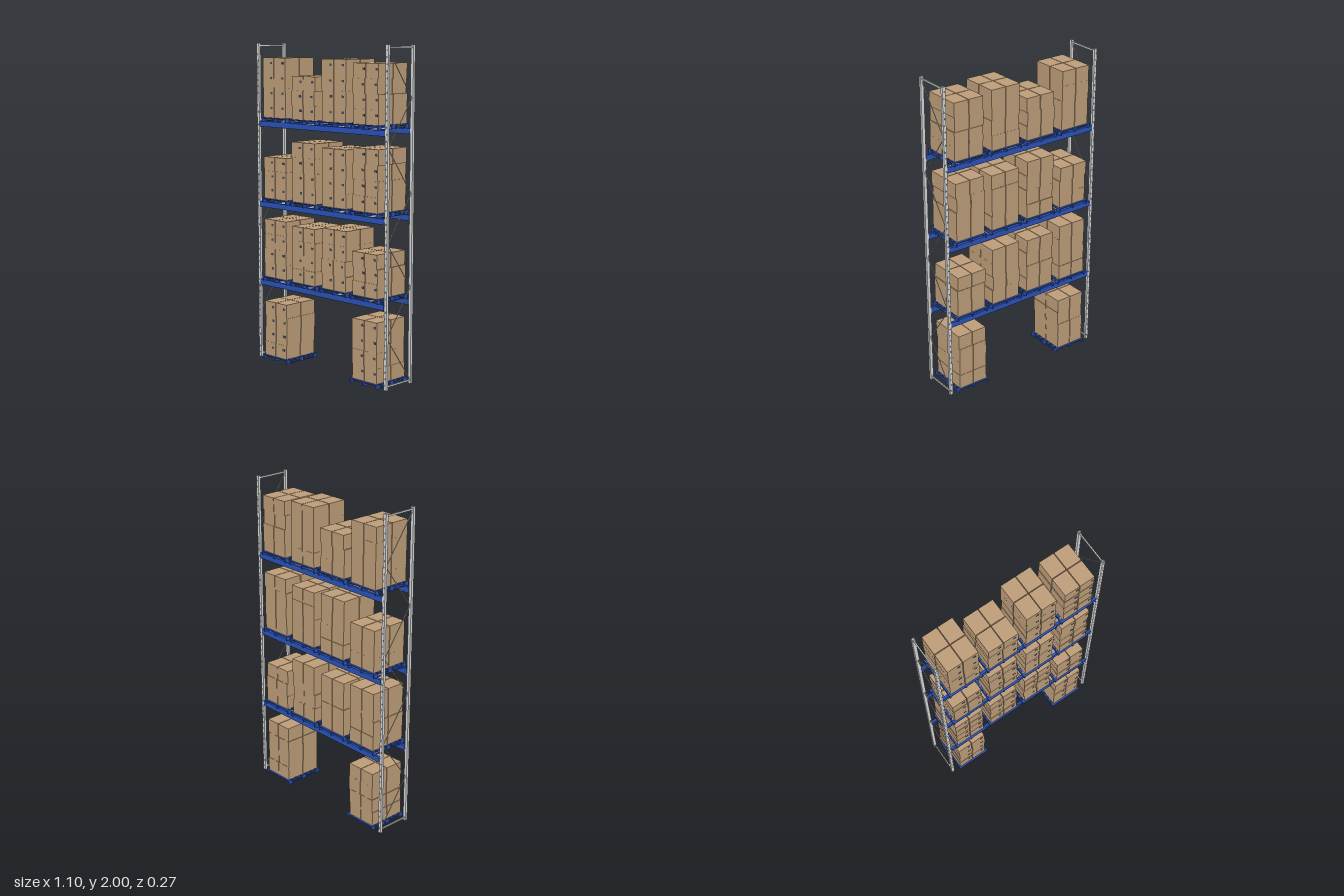
import * as THREE from 'three';

const mat = (name, color) => Object.assign(new THREE.MeshStandardMaterial({ color }), { name });

// Upright face: a tall strip pierced by a staggered row of slots
function slottedStrip(width, height, depth) {
  const shape = new THREE.Shape();
  shape.moveTo(-width / 2, 0);
  shape.lineTo(width / 2, 0);
  shape.lineTo(width / 2, height);
  shape.lineTo(-width / 2, height);
  shape.closePath();
  for (let i = 0; i < 50; i++) {
    const x = i % 2 ? 0.003 : -0.003, y = 0.03 + i * 0.0396;
    const hole = new THREE.Path();
    hole.moveTo(x - 0.002, y - 0.004);
    hole.lineTo(x - 0.002, y + 0.004);
    hole.lineTo(x + 0.002, y + 0.004);
    hole.lineTo(x + 0.002, y - 0.004);
    hole.closePath();
    shape.holes.push(hole);
  }
  return new THREE.ExtrudeGeometry(shape, { depth, bevelEnabled: false });
}

export function createModel() {
  const model = new THREE.Group();
  model.name = 'palletRack';
  const steel = mat('galvanised steel', 0xd6d7d7);
  const blue = mat('blue paint', 0x2a52b8);
  const card = mat('cardboard', 0xbd9d79);
  const dark = mat('dark slate', 0x414b5a);

  const unit = new THREE.BoxGeometry(1, 1, 1);
  const box = (parent, name, m, sx, sy, sz, x, y, z) => {
    const b = new THREE.Mesh(unit, m);
    b.name = name;
    b.scale.set(sx, sy, sz);
    b.position.set(x, y, z);
    parent.add(b);
    return b;
  };
  const group = (parent, name, x = 0, y = 0, z = 0) => {
    const g = new THREE.Group();
    g.name = name;
    g.position.set(x, y, z);
    parent.add(g);
    return g;
  };
  let seed = 11;
  const jitter = (a) => {
    seed = (seed * 16807) % 2147483647;
    return (seed / 2147483647 - 0.5) * 2 * a;
  };

  // End frames: slotted uprights, horizontals and zigzag braces
  const postX = 0.542, postZ = 0.107;
  const face = slottedStrip(0.02, 2, 0.002);
  for (const side of [-1, 1]) {
    const frame = group(model, side > 0 ? 'leftFrame' : 'rightFrame', side * postX);
    for (const s of [-1, 1]) {
      const post = group(frame, 'upright', 0, 0, s * postZ);
      post.rotation.y = s > 0 ? 0 : Math.PI;
      const front = new THREE.Mesh(face, steel);
      front.name = 'uprightFace';
      front.position.z = 0.006;
      post.add(front);
      box(post, 'uprightBack', steel, 0.02, 2, 0.002, 0, 1, -0.007);
      for (const f of [-1, 1]) box(post, 'uprightSide', steel, 0.002, 2, 0.012, f * 0.009, 1, 0);
    }
    for (const y of [0.02, 1.985]) box(frame, 'frameTie', steel, 0.007, 0.01, 0.2, 0, y, 0);
    const n = 7, step = 1.94 / n;
    for (let i = 0; i < n; i++) {
      const dir = i % 2 ? -1 : 1;
      const brace = box(frame, 'diagonalBrace', steel, 0.004, Math.hypot(step, 0.2), 0.004, 0, 0.03 + (i + 0.5) * step, 0);
      brace.rotation.x = Math.atan2(dir * 0.2, step);
    }
  }

  // Beams with end connectors, and cross supports under the pallets
  const bases = [0, 0.509, 1.011, 1.518];
  const columns = [-0.384, -0.128, 0.128, 0.384];
  for (const top of bases.slice(1)) {
    const level = group(model, 'shelfLevel', 0, top, 0);
    for (const s of [-1, 1]) {
      box(level, 'beam', blue, 1.054, 0.034, 0.015, 0, -0.017, s * 0.109);
      for (const e of [-1, 1]) box(level, 'beamConnector', blue, 0.004, 0.034, 0.02, e * 0.529, -0.017, s * 0.107);
    }
    for (const x of columns) box(level, 'crossSupport', steel, 0.012, 0.01, 0.202, x, -0.0055, 0);
  }

  // Slatted pallet with three bottom runners
  const addPallet = (parent) => {
    const pallet = group(parent, 'pallet');
    for (let i = 0; i < 7; i++)
      box(pallet, 'deckBoard', blue, 0.221, 0.006, 0.024, 0, 0.023, (i - 3) * 0.0405);
    for (const x of [-0.106, 0, 0.106]) {
      box(pallet, 'runner', blue, 0.009, 0.005, 0.264, x, 0.0025, 0);
      box(pallet, 'stringer', blue, 0.009, 0.004, 0.264, x, 0.018, 0);
      for (const z of [-0.118, 0, 0.118]) box(pallet, 'palletBlock', blue, 0.009, 0.016, 0.028, x, 0.0125, z);
    }
  };

  // Cartons stacked two by two, each layer slightly shifted, labels on the front
  const addCartons = (parent, layers, h, labelX) => {
    const stack = group(parent, 'cartonStack', 0, 0.026, 0);
    for (let l = 0; l < layers; l++) {
      const layer = group(stack, 'cartonLayer', jitter(0.004), (l + 0.5) * h, jitter(0.002));
      for (const i of [-1, 1])
        for (const j of [-1, 1]) {
          const carton = group(layer, 'carton', i * 0.0505, 0, j * 0.0622);
          box(carton, 'cartonBody', card, 0.097, h, 0.12, 0, 0, 0);
          if (j > 0) box(carton, 'cartonLabel', dark, 0.019, 0.014, 0.002, labelX, h / 2 - 0.033, 0.0602);
        }
    }
  };

  // Layers and carton height for each bay, from the floor up
  const tall = [4, 0.0923], mid = [4, 0.0878], low = [3, 0.0872];
  const loads = [
    [mid, null, null, tall],
    [tall, mid, tall, low],
    [low, tall, mid, tall],
    [tall, low, tall, mid],
  ];
  loads.forEach((row, r) => row.forEach((load, c) => {
    if (!load) return;
    const bay = group(model, 'palletLoad', columns[c], bases[r], 0);
    addPallet(bay);
    addCartons(bay, load[0], load[1], c === 3 ? 0.034 : 0.025);
  }));
  return model;
}
